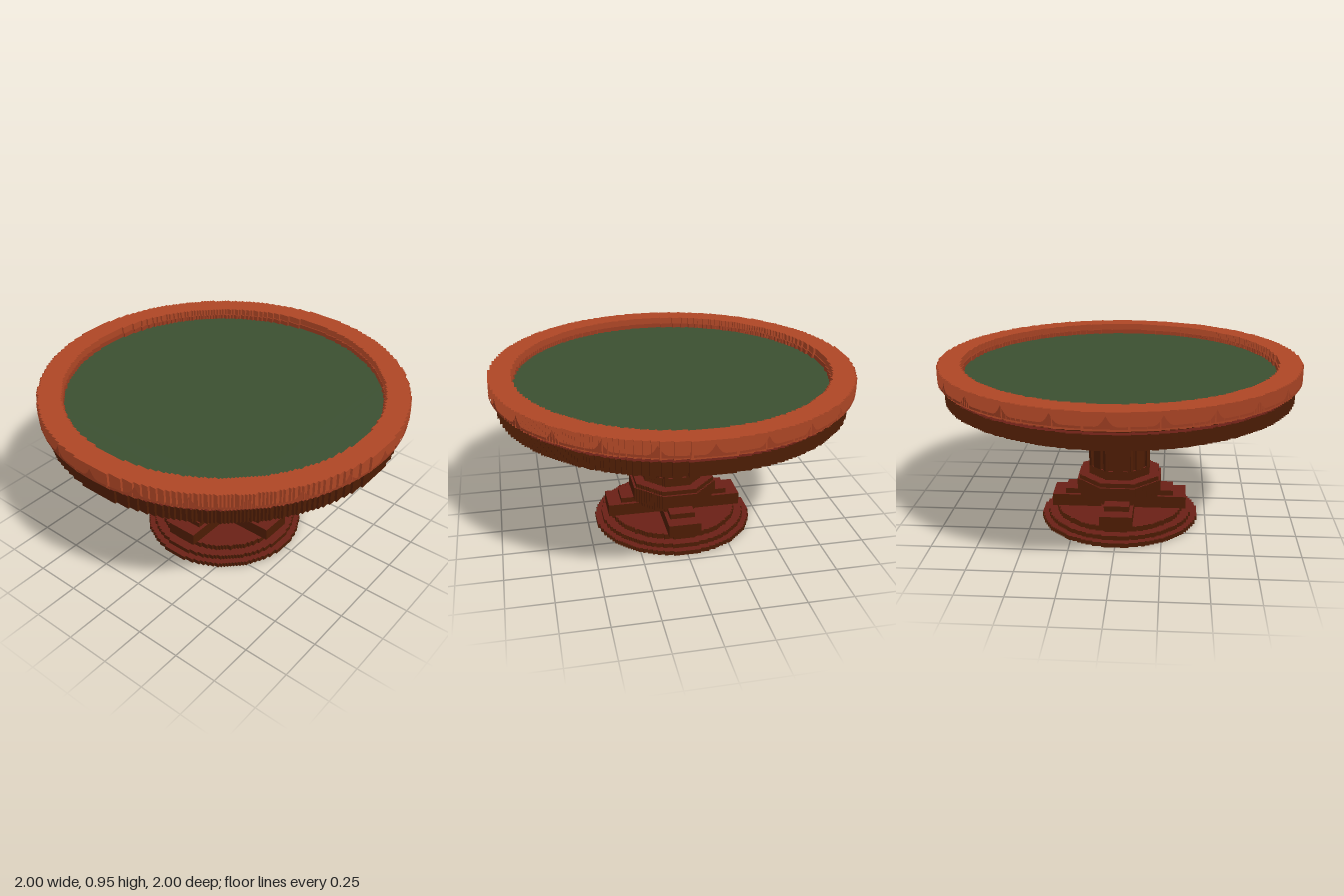
import * as THREE from 'three';

const CELL = 0.0125;

const mat = (name, color) => {
  const m = new THREE.MeshStandardMaterial({ color });
  m.name = name;
  return m;
};

// Half-widths across z for the two plan shapes
const round = r => ({ r, half: z => Math.sqrt(Math.max(0, r * r - z * z)) });
const octagon = a => ({ r: a, half: z => Math.min(a, a * Math.SQRT2 - Math.abs(z)) });

// Stair-stepped outline of a plan shape
function steppedOutline({ r, half }) {
  const n = Math.round(r / CELL), step = r / n, right = [];
  for (let j = -n; j < n; j++) {
    const w = Math.max(1, Math.round(half((j + 0.5) * step) / step)) * step;
    const last = right[right.length - 1];
    if (last && Math.abs(last.x - w) < 1e-6) last.y = (j + 1) * step;
    else right.push(new THREE.Vector2(w, j * step), new THREE.Vector2(w, (j + 1) * step));
  }
  const left = right.map(p => new THREE.Vector2(-p.x, p.y)).reverse();
  return [...right, ...left];
}

// Band around the rim whose top edge rises to 24 narrow cusps
function scallopBand(radius, y0, low, cusp, material) {
  const geo = new THREE.CylinderGeometry(radius, radius, 1, 384, 1, true);
  const pos = geo.attributes.position;
  const pitch = Math.PI / 12;
  for (let i = 0; i < pos.count; i++) {
    const a = Math.atan2(pos.getX(i), pos.getZ(i));
    const away = Math.abs(a - Math.round(a / pitch) * pitch);
    const rise = Math.max(0, 1 - away / 0.05) ** 2;
    pos.setY(i, pos.getY(i) < 0 ? y0 : y0 + low + cusp * rise);
  }
  const mesh = new THREE.Mesh(geo, material);
  mesh.name = 'scallopedRimBand';
  return mesh;
}

export function createModel() {
  const model = new THREE.Group();
  model.name = 'roundTable';
  const redWood = mat('red wood', 0xae4625);
  const shadedRed = mat('deep red wood', 0x9a3c20);
  const darkWood = mat('dark wood', 0x4d1c03);
  const darkRed = mat('dark red wood', 0x6a2016);
  const underside = mat('underside wood', 0x380c08);
  const felt = mat('green felt', 0x3b4f31);

  // Flat slab between two heights, with optional hole; materials are bottom, top, sides
  function slab(name, plan, y0, y1, materials, hole, parent = model) {
    const shape = new THREE.Shape(steppedOutline(plan));
    if (hole) shape.holes.push(new THREE.Path(steppedOutline(hole)));
    const geo = new THREE.ExtrudeGeometry(shape, { depth: y1 - y0, bevelEnabled: false });
    geo.rotateX(-Math.PI / 2).translate(0, y0, 0);
    const [caps, sides] = geo.groups;
    geo.clearGroups();
    geo.addGroup(0, caps.count / 2, 0);
    geo.addGroup(caps.count / 2, caps.count / 2, 1);
    geo.addGroup(sides.start, sides.count, 2);
    const mesh = new THREE.Mesh(geo, materials);
    mesh.name = name;
    parent.add(mesh);
  }
  function box(name, w, h, d, x, y, z, materials, parent) {
    const mesh = new THREE.Mesh(new THREE.BoxGeometry(w, h, d), materials);
    mesh.position.set(x, y, z);
    mesh.name = name;
    parent.add(mesh);
  }
  const wood = [underside, darkRed, darkWood];
  const boxWood = [darkWood, darkWood, darkRed, underside, darkWood, darkWood];

  // Table top
  slab('rim', round(0.995), 0.87, 0.95, [underside, redWood, redWood], round(0.8725));
  model.add(scallopBand(1, 0.87, 0.012, 0.05, shadedRed));
  slab('rimLip', round(0.985), 0.855, 0.87, [underside, redWood, redWood], round(0.87));
  slab('innerLedge', round(0.89), 0.87, 0.915, [underside, shadedRed, shadedRed], round(0.865));
  slab('playingSurface', round(0.88), 0.86, 0.89, [felt, felt, felt]);
  slab('upperApron', round(0.925), 0.83, 0.86, wood);
  slab('apron', round(0.96), 0.755, 0.83, wood);
  slab('lowerApron', round(0.9), 0.73, 0.755, wood);

  // Stepped capital
  slab('capitalDisc', round(0.375), 0.705, 0.73, wood);
  slab('capitalUpperStep', octagon(0.3), 0.655, 0.705, wood);
  slab('capitalLowerStep', octagon(0.25), 0.605, 0.655, wood);

  // Octagonal fluted column
  const column = new THREE.Group();
  column.name = 'column';
  model.add(column);
  slab('columnCore', octagon(0.16), 0.28, 0.605, wood, null, column);
  slab('columnTopBand', octagon(0.172), 0.58, 0.605, wood, null, column);
  slab('columnBottomBand', octagon(0.172), 0.28, 0.33, wood, null, column);
  for (let i = 0; i < 8; i++) {
    const face = new THREE.Group();
    face.name = 'flutedFace';
    face.rotation.y = i * Math.PI / 4;
    column.add(face);
    for (const [x0, x1] of [[-0.071, -0.053], [-0.028, 0.028], [0.053, 0.071]])
      box('rib', x1 - x0, 0.25, 0.02, (x0 + x1) / 2, 0.455, 0.162, darkWood, face);
  }

  // Pedestal block on a round collar
  slab('pedestalCap', octagon(0.225), 0.255, 0.28, wood);
  slab('pedestalBlock', octagon(0.2375), 0.175, 0.255, wood);
  slab('pedestalCollar', round(0.235), 0.15, 0.175, wood);

  // Four feet meeting in a cross
  for (let i = 0; i < 4; i++) {
    const foot = new THREE.Group();
    foot.name = 'foot';
    foot.rotation.y = i * Math.PI / 2;
    model.add(foot);
    box('footBlock', 0.18, 0.07, 0.295, 0, 0.115, 0.2375, boxWood, foot);
    box('footCap', 0.14, 0.03, 0.2, 0, 0.165, 0.21, boxWood, foot);
  }

  // Stepped base
  slab('baseTopStep', round(0.3625), 0.05, 0.08, wood);
  slab('baseMiddleStep', round(0.4125), 0.025, 0.05, wood);
  slab('baseBottomStep', round(0.45), 0, 0.025, wood);

  return model;
}
